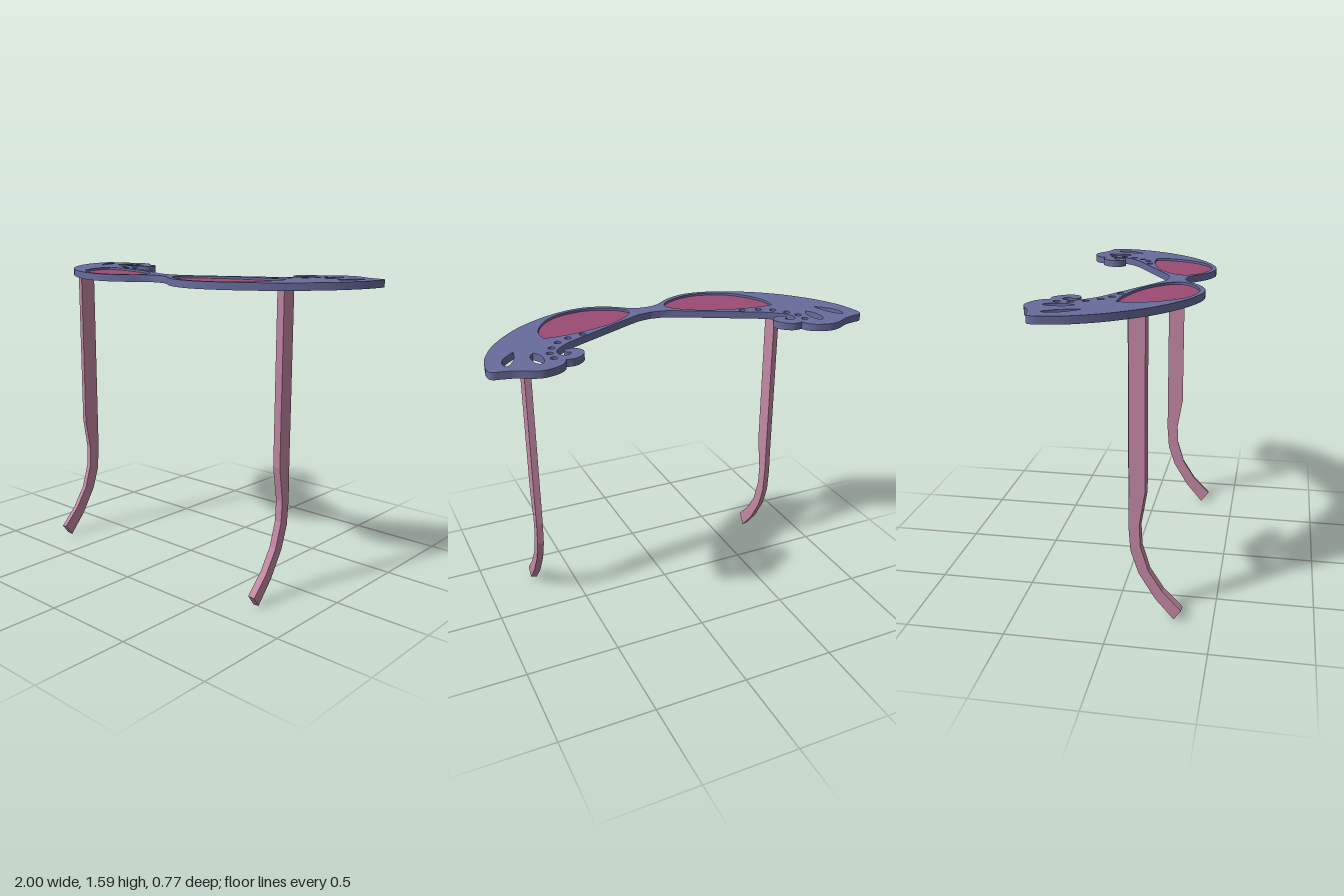
import * as THREE from 'three';

const FRAME_Y = 1.553, FRAME_H = 0.037;

// smooth curve through [x, z] points, as shape points (shape y = -z)
function smooth(pts, steps = 6) {
  const curve = new THREE.SplineCurve(pts.map(([x, z]) => new THREE.Vector2(x, -z)));
  return curve.getPoints((pts.length - 1) * steps);
}
// several smooth runs joined at sharp corners
const joinRuns = (...runs) => runs.flatMap((r, i) => smooth(r).slice(i ? 1 : 0));
const mirrored = (pts, s) => pts.map(p => new THREE.Vector2(p.x * s, p.y));

// flat plate lying in the xz plane
function plate(shape, y, height) {
  const geo = new THREE.ExtrudeGeometry(shape, { depth: height, bevelEnabled: false, curveSegments: 16 });
  return geo.rotateX(-Math.PI / 2).translate(0, y, 0);
}

// half of the frame outline, from the nose bridge round the wing and scroll back to the bridge
const halfOutline = joinRuns(
  [[0, 0.252], [0.04, 0.255], [0.09, 0.278], [0.15, 0.325], [0.22, 0.362], [0.31, 0.382], [0.43, 0.365],
    [0.59, 0.295], [0.75, 0.18], [0.89, 0.02], [0.97, -0.13], [0.997, -0.24], [1, -0.29], [0.985, -0.32],
    [0.94, -0.33], [0.88, -0.345], [0.82, -0.378], [0.76, -0.391], [0.69, -0.372], [0.65, -0.34], [0.635, -0.308]],
  [[0.635, -0.308], [0.585, -0.308], [0.54, -0.275], [0.521, -0.23], [0.535, -0.192], [0.57, -0.175],
    [0.605, -0.185], [0.605, -0.21], [0.585, -0.225], [0.595, -0.245], [0.625, -0.25], [0.643, -0.225],
    [0.64, -0.185], [0.61, -0.145], [0.54, -0.09], [0.4, -0.015], [0.18, 0.1], [0.08, 0.148], [0, 0.162]]);

const lensOutline = joinRuns(
  [[0.642, 0.005], [0.644, 0.1], [0.59, 0.215], [0.51, 0.3], [0.41, 0.345], [0.3, 0.355], [0.19, 0.32],
    [0.125, 0.27], [0.108, 0.22], [0.15, 0.155], [0.27, 0.075], [0.43, 0.025], [0.55, 0.006], [0.642, 0.005]]);

// teardrop cut-outs in the wing
const teardrops = [
  joinRuns([[0.75, -0.16], [0.725, -0.21], [0.73, -0.28], [0.755, -0.31], [0.778, -0.28], [0.778, -0.21], [0.75, -0.16]]),
  joinRuns([[0.83, -0.11], [0.848, -0.19], [0.875, -0.245], [0.905, -0.277], [0.918, -0.24], [0.895, -0.18], [0.83, -0.11]]),
];
// row of small round cut-outs
const dots = [[0.68, -0.265], [0.68, -0.2], [0.65, -0.135], [0.6, -0.075], [0.535, -0.035], [0.45, -0.01]];

// temple arm: front and back edge [z, y] of each section, going down
const armSections = [
  [[0.165, 1.556], [0.07, 1.556]], [[0.165, 0.685], [0.07, 0.685]], [[0.135, 0.51], [0.07, 0.5]],
  [[0.14, 0.4], [0.08, 0.37]], [[0.18, 0.27], [0.12, 0.25]], [[0.25, 0.16], [0.205, 0.11]], [[0.345, 0.062], [0.3, 0]],
];

function armGeometry(s) {
  const INNER = 0.704, OUTER = 0.738, INSET = 0.09;
  const pos = [], idx = [];
  for (const [f, b] of armSections) {
    const at = (t, x) => [x * s, f[1] + (b[1] - f[1]) * t, f[0] + (b[0] - f[0]) * t];
    // the outer face is slightly narrower than the inner one
    const ring = [at(0, INNER), at(INSET, OUTER), at(1 - INSET, OUTER), at(1, INNER)];
    if (s < 0) ring.reverse();
    pos.push(...ring.flat());
  }
  const last = (armSections.length - 1) * 4;
  for (let i = 0; i < last; i += 4) {
    for (let j = 0; j < 4; j++) {
      const k = (j + 1) % 4;
      idx.push(i + j, i + 4 + j, i + 4 + k, i + j, i + 4 + k, i + k);
    }
  }
  idx.push(0, 1, 2, 0, 2, 3, last, last + 2, last + 1, last, last + 3, last + 2);
  const geo = new THREE.BufferGeometry();
  geo.setAttribute('position', new THREE.Float32BufferAttribute(pos, 3));
  geo.setIndex(idx);
  const flat = geo.toNonIndexed();
  flat.computeVertexNormals();
  return flat;
}

export function createModel() {
  const group = new THREE.Group();
  const frameMat = new THREE.MeshStandardMaterial({ color: 0x686c9c });
  const lensMat = new THREE.MeshStandardMaterial({ color: 0x9c4a74 });
  const armMat = new THREE.MeshStandardMaterial({ color: 0xc488a4, flatShading: true });
  const add = (name, geo, mat) => {
    const mesh = new THREE.Mesh(geo, mat);
    mesh.name = name;
    group.add(mesh);
  };

  // frame with all its openings
  const other = mirrored(halfOutline, -1).reverse().slice(1, -1);
  const frame = new THREE.Shape([...halfOutline, ...other]);
  for (const s of [1, -1]) {
    for (const hole of [lensOutline, ...teardrops]) {
      frame.holes.push(new THREE.Path(mirrored(hole.slice(0, -1), s)));
    }
    for (const [x, z] of dots) {
      frame.holes.push(new THREE.Path().absarc(x * s, -z, 0.017, 0, Math.PI * 2));
    }
  }
  add('frame', plate(frame, FRAME_Y, FRAME_H), frameMat);

  // lenses set inside the rims, and the two arms
  for (const [s, side] of [[1, 'left'], [-1, 'right']]) {
    const lens = new THREE.Shape(mirrored(lensOutline.slice(0, -1), s));
    add(side + 'Lens', plate(lens, FRAME_Y + 0.012, 0.013), lensMat);
    add(side + 'Arm', armGeometry(s), armMat);
  }
  return group;
}
